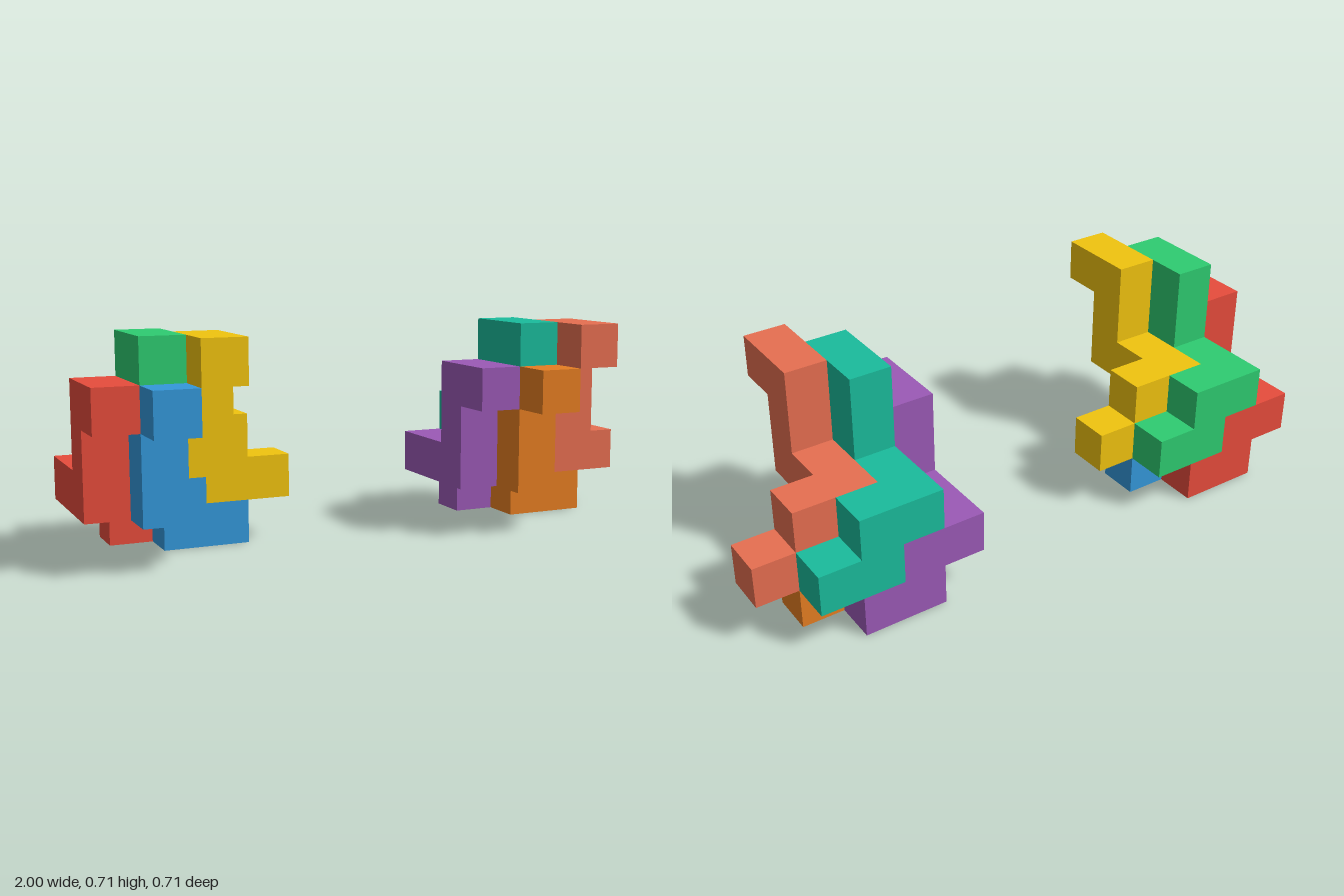
import * as THREE from 'three';
import { mergeGeometries, mergeVertices } from 'three/addons/utils/BufferGeometryUtils.js';

const U = 1 / 7; // edge of one cube

// Stepped chain of nine cubes: a zigzag in the y-z plane, then one in the x-y plane
const CHAIN = [
  [2, 4, 4], [2, 4, 3], [2, 3, 3], [2, 2, 3], [2, 2, 2],
  [2, 2, 1], [3, 2, 1], [3, 1, 1], [4, 1, 1],
];

// One side of a cube: a square plane turned to face the given direction
const DIRECTIONS = [[1, 0, 0], [-1, 0, 0], [0, 1, 0], [0, -1, 0], [0, 0, 1], [0, 0, -1]];

function cubeSide([dx, dy, dz]) {
  const side = new THREE.PlaneGeometry(U, U).translate(0, 0, U / 2);
  if (dy) side.rotateX(-dy * Math.PI / 2);
  else if (dx) side.rotateY(dx * Math.PI / 2);
  else if (dz < 0) side.rotateY(Math.PI);
  return side;
}

// Outer skin of the chain: only the sides not shared by two of its cubes
function chainGeometry() {
  const filled = new Set(CHAIN.map(String));
  const sides = [];
  for (const [i, j, k] of CHAIN) {
    for (const d of DIRECTIONS) {
      if (filled.has(String([i + d[0], j + d[1], k + d[2]]))) continue;
      sides.push(cubeSide(d).translate((i - 2) * U, (j + 0.5) * U, (k - 2) * U));
    }
  }
  const geometry = mergeGeometries(sides);
  geometry.deleteAttribute('uv');
  return mergeVertices(geometry, 1e-5);
}

// Places of the four nested pieces, in cubes
const PLACES = [
  { name: 'frontUpperPiece', offset: [0, 0, 0] },
  { name: 'backUpperPiece', offset: [-1, 0, -1] },
  { name: 'frontLowerPiece', offset: [-1, -1, 0] },
  { name: 'backLowerPiece', offset: [-2, -1, -1] },
];

function cluster(name, x, colors, geometry) {
  const group = new THREE.Group();
  group.name = name;
  group.position.x = x;
  PLACES.forEach(({ name: piece, offset }, n) => {
    const material = new THREE.MeshStandardMaterial({ color: colors[n] });
    const mesh = new THREE.Mesh(geometry, material);
    mesh.name = piece;
    mesh.position.fromArray(offset).multiplyScalar(U);
    group.add(mesh);
  });
  return group;
}

export function createModel() {
  const model = new THREE.Group();
  model.name = 'interlockingCubePuzzle';
  const geometry = chainGeometry();
  model.add(
    cluster('rightCluster', -4.5 * U, [0xf1c40f, 0x2ecc71, 0x3498db, 0xe74c3c], geometry),
    cluster('leftCluster', 4.5 * U, [0xe76f51, 0x1abc9c, 0xe67e22, 0x9b59b6], geometry),
  );
  return model;
}
